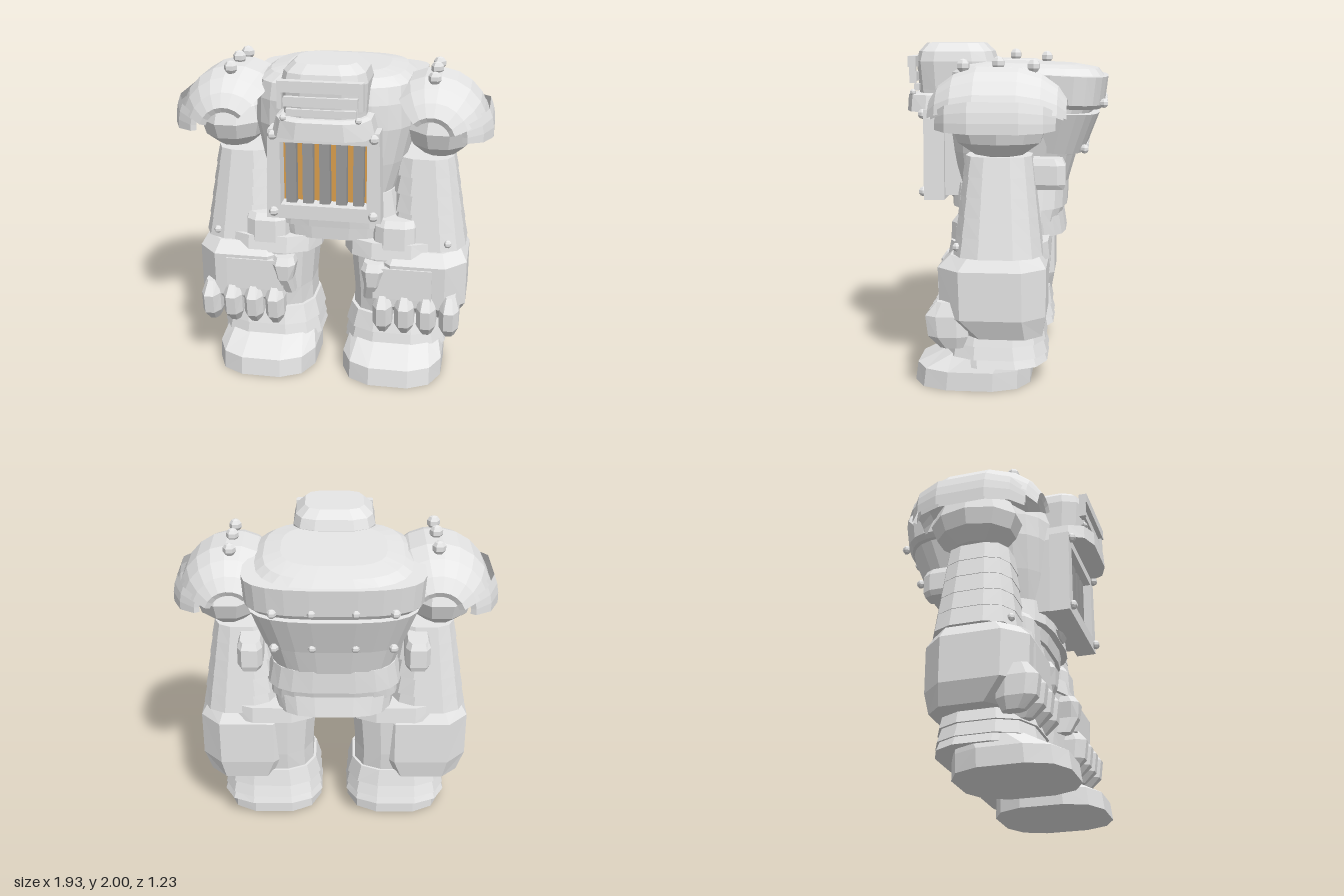
import * as THREE from 'three';

const mat = (name, color) => {
  const m = new THREE.MeshStandardMaterial({ color, side: THREE.DoubleSide });
  m.name = name;
  return m;
};

// Faceted copy of any geometry
function facet(g) {
  const f = g.index ? g.toNonIndexed() : g;
  f.computeVertexNormals();
  return f;
}

// Capped loft through rounded-rectangle rings: [y, halfWidth, zBack, zFront, xShift]
function loft(levels, n = 12, p = 2.8, tilt = 0) {
  const pos = [], idx = [];
  const reach = Math.cos(Math.PI / n);
  const pow = (v) => Math.sign(v) * Math.abs(v / reach) ** (2 / p);
  for (const [y, hw, zb, zf, dx = 0] of levels) {
    for (let i = 0; i < n; i++) {
      const t = ((i + 0.5) / n) * Math.PI * 2;
      const z = (zb + zf) / 2 + ((zf - zb) / 2) * pow(Math.sin(t));
      pos.push(dx + hw * pow(Math.cos(t)), y + tilt * z, z);
    }
  }
  const last = (levels.length - 1) * n;
  for (let i = 0; i < n; i++) {
    const j = (i + 1) % n;
    for (let k = 0; k < last; k += n) idx.push(k + i, k + n + i, k + n + j, k + i, k + n + j, k + j);
    if (i > 0 && i < n - 1) idx.push(0, i, i + 1, last, last + i + 1, last + i);
  }
  const g = new THREE.BufferGeometry();
  g.setAttribute('position', new THREE.Float32BufferAttribute(pos, 3));
  g.setIndex(idx);
  return facet(g);
}

export function createModel() {
  const steel = mat('pale steel', 0xe6e6e6);
  const dark = mat('grille steel', 0x9c9c9c);
  const amber = mat('amber glow', 0xdca04e);

  const add = (parent, name, geo, x = 0, y = 0, z = 0, m = steel) => {
    const mesh = new THREE.Mesh(geo, m);
    mesh.name = name;
    mesh.position.set(x, y, z);
    parent.add(mesh);
    return mesh;
  };
  const box = (parent, name, w, h, d, x, y, z, m = steel) =>
    add(parent, name, new THREE.BoxGeometry(w, h, d), x, y, z, m);
  const rivetGeo = facet(new THREE.SphereGeometry(1, 6, 5));
  const rivet = (parent, x, y, z, r = 0.032) =>
    add(parent, 'rivet', rivetGeo, x, y, z).scale.setScalar(r);

  const model = new THREE.Group();
  model.name = 'armouredSuit';
  const body = new THREE.Group();
  body.name = 'body';
  body.position.x = 0.01;
  model.add(body);

  // Torso with domed top
  add(body, 'torso', loft([
    [1.1, 0.365, -0.35, 0.32], [1.35, 0.44, -0.42, 0.35], [1.57, 0.49, -0.5, 0.37],
    [1.72, 0.485, -0.56, 0.37], [1.82, 0.475, -0.585, 0.34], [1.865, 0.41, -0.55, 0.28],
    [1.885, 0.31, -0.42, 0.16],
  ], 24, 3, 0.03));

  // Plates around the back
  add(body, 'upperBackBand', loft([[1.645, 0.485, -0.575, -0.08], [1.67, 0.515, -0.59, -0.08],
    [1.835, 0.525, -0.61, -0.08], [1.835, 0.46, -0.57, -0.12]], 24, 3, 0.05));
  add(body, 'lowerBackBand', loft([[1.38, 0.42, -0.47, 0], [1.62, 0.5, -0.56, 0],
    [1.62, 0.45, -0.5, 0]], 24, 3, 0.06));
  for (const x of [-0.345, -0.125, 0.125, 0.345]) {
    rivet(body, x, 1.655, -0.585, 0.028);
    rivet(body, x, 1.385, -0.475, 0.028);
  }

  // Waist bands and pelvis
  add(body, 'waistBand', loft([[1.02, 0.42, -0.365, 0.34], [1.17, 0.39, -0.37, 0.33]], 20, 3.2));
  add(body, 'hipBand', loft([[0.94, 0.4, -0.33, 0.29], [1.02, 0.39, -0.35, 0.3]], 20, 3.2));
  add(body, 'pelvis', loft([[0.85, 0.36, -0.36, 0.26], [0.98, 0.38, -0.34, 0.27]], 20, 3.2));
  add(body, 'beltTongue', loft([[1.025, 0.07, 0.2, 0.35], [1.06, 0.11, 0.2, 0.37]], 12));

  // Chest grille: frame, glowing back panel and bars
  const grille = new THREE.Group();
  grille.name = 'chestGrille';
  body.add(grille);
  box(grille, 'grilleHousing', 0.6, 0.5, 0.3, 0, 1.34, 0.225);
  const frame = new THREE.Shape([[-0.34, 1.065], [0.34, 1.065], [0.325, 1.61], [-0.325, 1.61]]
    .map(([x, y]) => new THREE.Vector2(x, y)));
  frame.holes.push(new THREE.Path([[-0.255, 1.15], [-0.255, 1.535], [0.255, 1.535], [0.255, 1.15]]
    .map(([x, y]) => new THREE.Vector2(x, y))));
  add(grille, 'grilleFrame', new THREE.ExtrudeGeometry(frame, { depth: 0.125, bevelEnabled: false }), 0, 0, 0.365);
  box(grille, 'glowPanel', 0.51, 0.385, 0.008, 0, 1.3425, 0.381, amber);
  for (let i = -2; i <= 2; i++) box(grille, 'grilleBar', 0.062, 0.385, 0.05, i * 0.1, 1.3425, 0.42, dark);
  for (const x of [-0.295, 0.295]) for (const y of [1.11, 1.58]) rivet(grille, x, y, 0.5, 0.03);

  // Head, collar and visor
  const head = new THREE.Group();
  head.name = 'head';
  body.add(head);
  add(head, 'helmet', loft([[1.6, 0.235, 0.1, 0.54], [1.72, 0.24, 0.09, 0.545],
    [1.89, 0.25, 0.08, 0.56], [1.95, 0.235, 0.1, 0.545], [2.0, 0.18, 0.15, 0.5]], 12, 3.6));
  add(head, 'collar', loft([[1.59, 0.3, 0.1, 0.615], [1.69, 0.275, 0.1, 0.61],
    [1.7, 0.25, 0.12, 0.57]], 12, 3.6));
  box(head, 'visorBrow', 0.48, 0.065, 0.05, 0, 1.89, 0.57);
  box(head, 'mouthPlate', 0.42, 0.055, 0.03, 0, 1.8, 0.56);
  box(head, 'chinPlate', 0.4, 0.04, 0.03, 0, 1.735, 0.55);
  for (const s of [-1, 1]) {
    box(head, 'visorBracket', 0.025, 0.16, 0.04, s * 0.232, 1.84, 0.565);
    rivet(head, s * 0.215, 1.705, 0.57, 0.02);
  }

  // Shared side parts
  const hoop = (profile, start, length, segs) => {
    const pts = profile.map(([r, z]) => new THREE.Vector2(r, z));
    const inner = profile.map(([r, z]) => new THREE.Vector2(r - 0.03, z * 0.96)).reverse();
    const g = new THREE.LatheGeometry([...pts, ...inner, pts[0]], segs, start, length);
    return facet(g.rotateX(Math.PI / 2));
  };
  const dome = hoop([[0.145, -0.39], [0.22, -0.34], [0.285, -0.25], [0.325, -0.12],
    [0.325, 0.12], [0.285, 0.25], [0.22, 0.34], [0.145, 0.39]], 1.87, 2.05, 7);
  const flange = hoop([[0.21, -0.335], [0.3, -0.27], [0.355, -0.14],
    [0.355, 0.14], [0.3, 0.27], [0.21, 0.335]], 1.5, 0.5, 3);
  const finger = loft([[0.28, 0.035, 0.2, 0.33], [0.35, 0.06, 0.17, 0.4],
    [0.47, 0.06, 0.17, 0.415], [0.55, 0.035, 0.23, 0.35]], 8, 2.4);
  const ball = facet(new THREE.SphereGeometry(1, 10, 6));

  for (const s of [1, -1]) {
    const side = new THREE.Group();
    side.name = s > 0 ? 'leftLimbs' : 'rightLimbs';
    side.scale.x = s;
    body.add(side);

    // Shoulder guard
    const guard = new THREE.Group();
    guard.name = 'shoulderGuard';
    guard.position.set(0.605, 1.55, 0.01);
    guard.scale.setScalar(s > 0 ? 0.995 : 1.05);
    side.add(guard);
    add(guard, 'shoulderDome', dome);
    add(guard, 'shoulderFlange', flange);
    for (const z of [-0.2, 0, 0.2]) rivet(guard, 0, z ? 0.33 : 0.345, z, 0.04);

    // Arm: shoulder ball, overlapping bands, elbow block
    add(side, 'shoulderJoint', ball, 0.64, 1.55, 0).scale.set(0.22, 0.19, 0.28);
    for (let i = 0; i < 5; i++) {
      const y = 1.375 - i * 0.113, hw = 0.172 + i * 0.011, d = 0.18 + i * 0.013, cx = 0.558 + i * 0.007;
      add(side, 'armBand', loft([[y - 0.113, hw + 0.023, -d - 0.014, d + 0.032, cx],
        [y, hw, -d, d + 0.015, cx]], 12, 2.8));
    }
    add(side, 'elbowBlock', loft([[1.17, 0.06, -0.36, -0.1, 0.5], [1.2, 0.075, -0.37, -0.1, 0.5],
      [1.31, 0.075, -0.37, -0.1, 0.5], [1.35, 0.06, -0.35, -0.1, 0.5]], 8, 4));
    rivet(side, 0.72, 0.86, 0.24, 0.025);

    // Gauntlet with fingers and thumb
    add(side, 'gauntlet', loft([[0.34, 0.23, -0.25, 0.2, 0.56], [0.46, 0.29, -0.27, 0.34, 0.55],
      [0.74, 0.29, -0.27, 0.35, 0.55], [0.81, 0.25, -0.23, 0.28, 0.55]], 8, 3.2));
    box(side, 'handPlate', 0.36, 0.2, 0.06, 0.46, 0.62, 0.33);
    for (const x of [0.34, 0.475, 0.61, 0.75]) add(side, 'finger', finger, x);
    add(side, 'thumb', loft([[0.5, 0.035, 0.2, 0.33, 0.25], [0.6, 0.05, 0.2, 0.38, 0.275],
      [0.7, 0.075, 0.2, 0.39, 0.28], [0.745, 0.06, 0.2, 0.36, 0.28]], 8, 3));

    // Leg: hip block, thigh, shin bands and boot
    add(side, 'hipBlock', loft([[0.78, 0.15, -0.1, 0.31, 0.4], [0.96, 0.145, -0.1, 0.3, 0.4],
      [1.0, 0.135, -0.1, 0.27, 0.4]], 12, 3.2));
    add(side, 'thighBand', loft([[0.76, 0.31, -0.28, 0.32, 0.385], [0.86, 0.31, -0.27, 0.3, 0.385]]));
    add(side, 'thigh', loft([[0.34, 0.265, -0.22, 0.27, 0.4], [0.5, 0.26, -0.24, 0.29, 0.4],
      [0.78, 0.285, -0.26, 0.31, 0.4]]));
    add(side, 'shinBand', loft([[0.27, 0.31, -0.26, 0.33, 0.4], [0.38, 0.28, -0.24, 0.3, 0.4]]));
    add(side, 'shinBand', loft([[0.19, 0.315, -0.27, 0.33, 0.4], [0.29, 0.29, -0.24, 0.31, 0.4]]));
    add(side, 'ankleBand', loft([[0.14, 0.32, -0.27, 0.3, 0.4], [0.2, 0.3, -0.25, 0.3, 0.4]]));
    add(side, 'boot', loft([[0, 0.31, -0.17, 0.52, 0.4], [0.11, 0.31, -0.17, 0.505, 0.4],
      [0.2, 0.28, -0.16, 0.33, 0.4]]));
  }
  return model;
}
